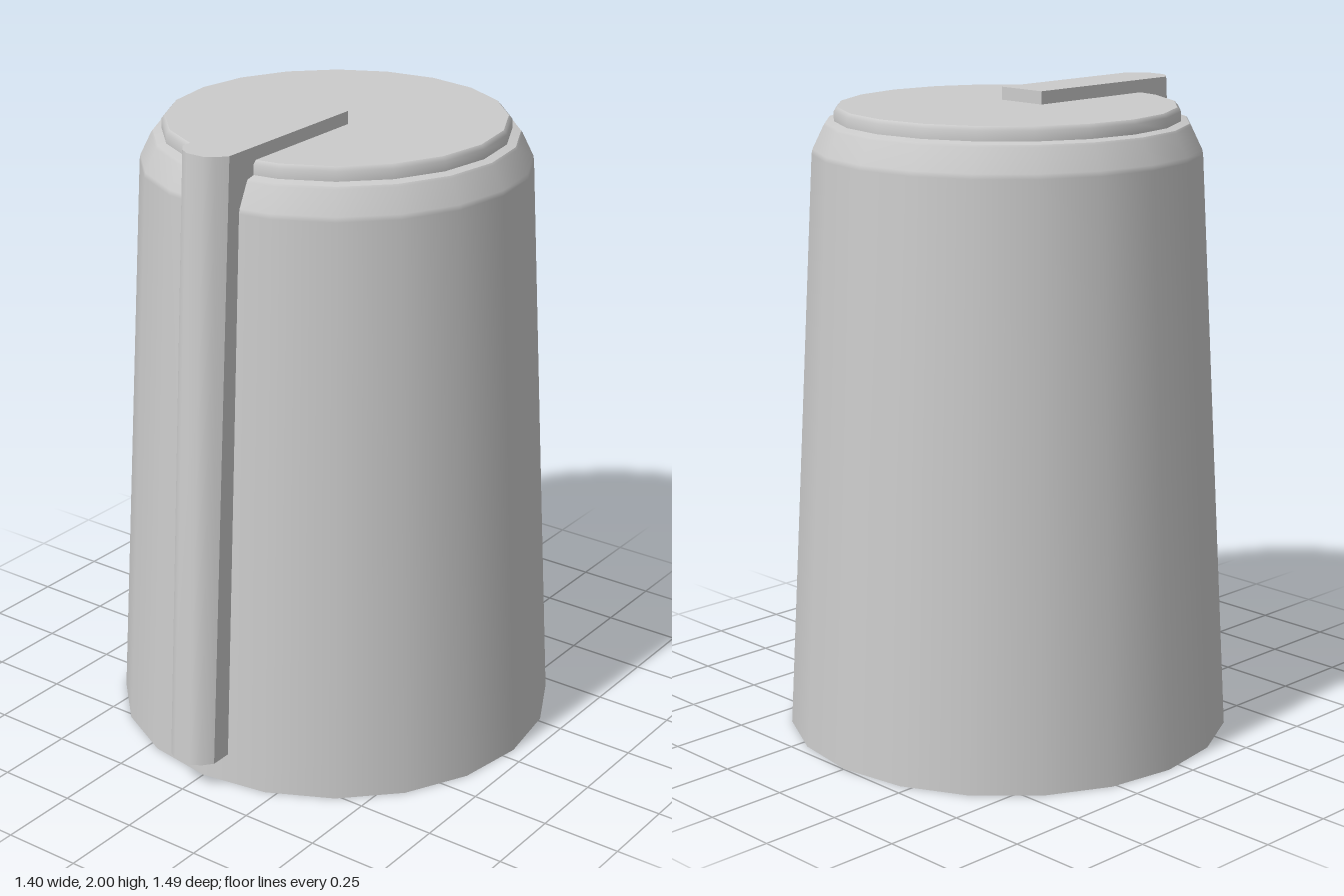
import * as THREE from 'three';
import { toCreasedNormals } from 'three/addons/utils/BufferGeometryUtils.js';

const SIDES = 20;
const material = new THREE.MeshStandardMaterial({ color: 0xcccccc });

// Revolves one smooth run of the profile; separate runs keep hard edges
function ring(name, points) {
  const profile = points.map(([r, y]) => new THREE.Vector2(r, y));
  const mesh = new THREE.Mesh(new THREE.LatheGeometry(profile, SIDES), material);
  mesh.name = name;
  return mesh;
}

// Upright bar with a rounded nose; the nose leans out toward the bottom
function pointer() {
  const bottom = 0.095, top = 2, lean = 0.125;
  const half = [[0.085, 0.01], [0.085, 0.572], [0.06, 0.602], [0.03, 0.62]];
  const outline = [...half, ...half.map(([x, z]) => [-x, z]).reverse()];
  const shape = new THREE.Shape(outline.map(([x, z]) => new THREE.Vector2(x, -z)));
  let geo = new THREE.ExtrudeGeometry(shape, { depth: top - bottom, bevelEnabled: false });
  geo.rotateX(-Math.PI / 2).translate(0, bottom, 0);
  const p = geo.attributes.position;
  for (let i = 0; i < p.count; i++) {
    if (p.getZ(i) > 0.3) {
      p.setZ(i, p.getZ(i) + lean * (top - p.getY(i)) / (top - bottom));
    }
  }
  geo = toCreasedNormals(geo, 0.65);
  const mesh = new THREE.Mesh(geo, material);
  mesh.name = 'pointer';
  return mesh;
}

export function createModel() {
  const model = new THREE.Group();
  model.name = 'controlKnob';

  // Round body, slightly behind centre to make room for the pointer
  const body = new THREE.Group();
  body.name = 'body';
  body.position.z = -0.05;
  body.add(
    ring('base', [[0, 0], [0.698, 0]]),
    ring('skirt', [[0.698, 0], [0.647, 0.915], [0.597, 1.82], [0.594, 1.835], [0.56, 1.905], [0.555, 1.912]]),
    ring('ledge', [[0.555, 1.912], [0.528, 1.918]]),
    ring('capRim', [[0.528, 1.918], [0.528, 1.948], [0.517, 1.96]]),
    ring('capTop', [[0.517, 1.96], [0, 1.96]])
  );
  model.add(body, pointer());
  return model;
}
